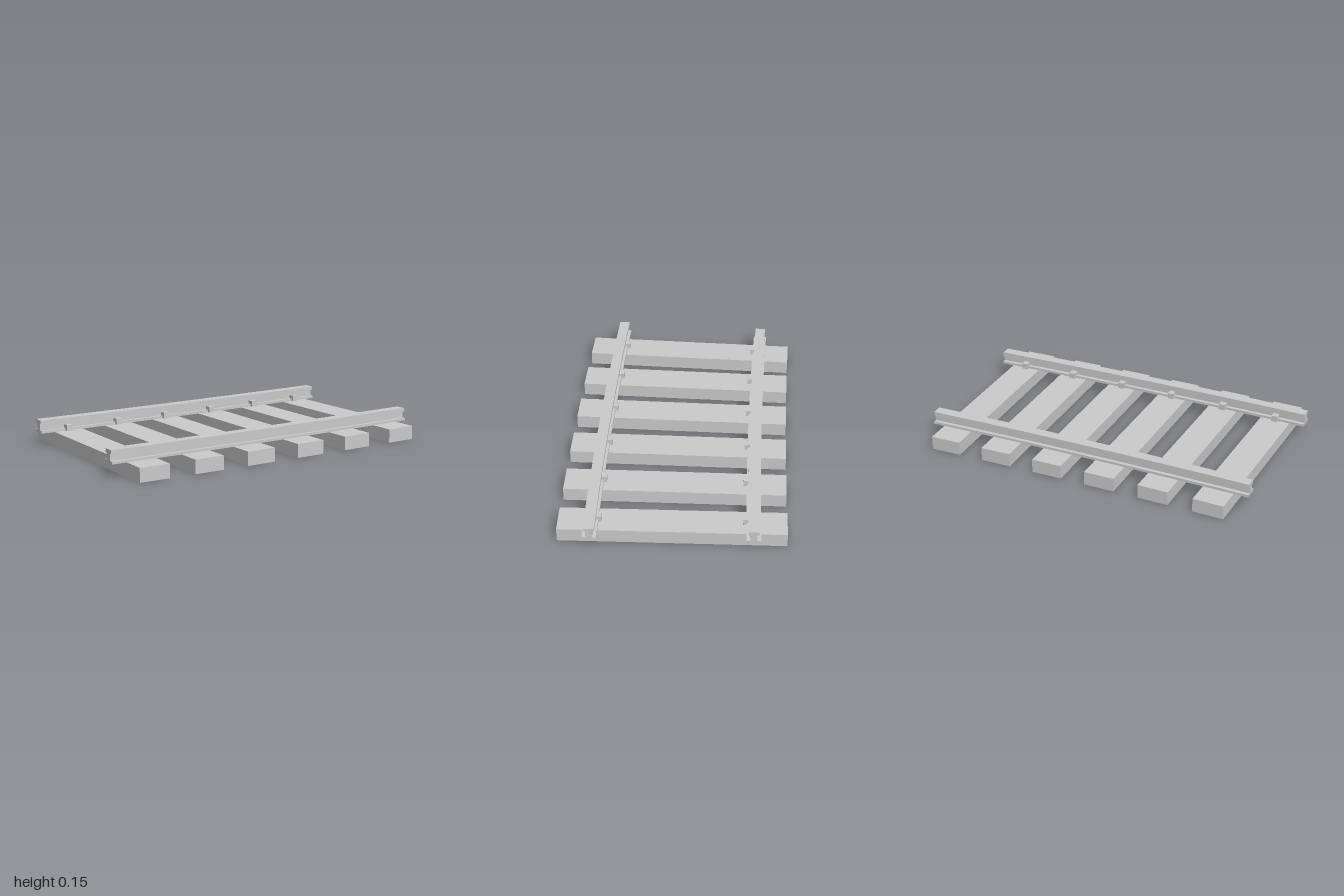
import * as THREE from 'three';

// The track follows a gentle arc bending toward -x; s = distance along it, u = offset sideways
const RADIUS = 34, SWEEP = 0.058, CENTRE_X = 0.025, START_Z = -1;
const HALF_GAUGE = 0.435, SLEEPER_TOP = 0.079;

function onArc(u, s) {
  const a = s / RADIUS;
  return {
    x: CENTRE_X - RADIUS + (RADIUS + u) * Math.cos(a),
    z: START_Z + (RADIUS + u) * Math.sin(a),
    a,
  };
}

const material = new THREE.MeshStandardMaterial({ color: 0xcccccc, flatShading: true });

// Box placed on the arc and turned square to it
function boxOnArc(name, w, h, d, u, y, s) {
  const mesh = new THREE.Mesh(new THREE.BoxGeometry(w, h, d), material);
  const p = onArc(u, s);
  mesh.position.set(p.x, y + h / 2, p.z);
  mesh.rotation.y = -p.a;
  mesh.name = name;
  return mesh;
}

// I-shaped rail section extruded, then bent along the arc
function makeRail(name, u) {
  const half = [
    [0.039, SLEEPER_TOP - 0.001], [0.039, 0.093], [0.018, 0.093],
    [0.018, 0.132], [0.03, 0.132], [0.03, 0.152],
  ];
  const mirrored = half.map(([x, y]) => [-x, y]).reverse();
  const section = new THREE.Shape([...half, ...mirrored].map(([x, y]) => new THREE.Vector2(x, y)));
  const geometry = new THREE.ExtrudeGeometry(section, {
    depth: RADIUS * SWEEP, steps: 12, bevelEnabled: false,
  });
  const pos = geometry.attributes.position;
  for (let i = 0; i < pos.count; i++) {
    const p = onArc(u + pos.getX(i), pos.getZ(i));
    pos.setX(i, p.x);
    pos.setZ(i, p.z);
  }
  geometry.computeVertexNormals();
  const mesh = new THREE.Mesh(geometry, material);
  mesh.name = name;
  return mesh;
}

export function createModel() {
  const track = new THREE.Group();
  track.name = 'railwayTrack';

  track.add(makeRail('rightRail', -HALF_GAUGE), makeRail('leftRail', HALF_GAUGE));

  // Six sleepers, each with a clip on the inner side of both rails
  for (let i = 0; i < 6; i++) {
    const s = 0.16 + i * 0.328;
    track.add(boxOnArc('sleeper', 1.232, SLEEPER_TOP, 0.178, 0, 0, s));
    for (const side of [-1, 1]) {
      track.add(boxOnArc('railClip', 0.04, 0.035, 0.036, side * (HALF_GAUGE - 0.036), SLEEPER_TOP, s));
    }
  }
  return track;
}
